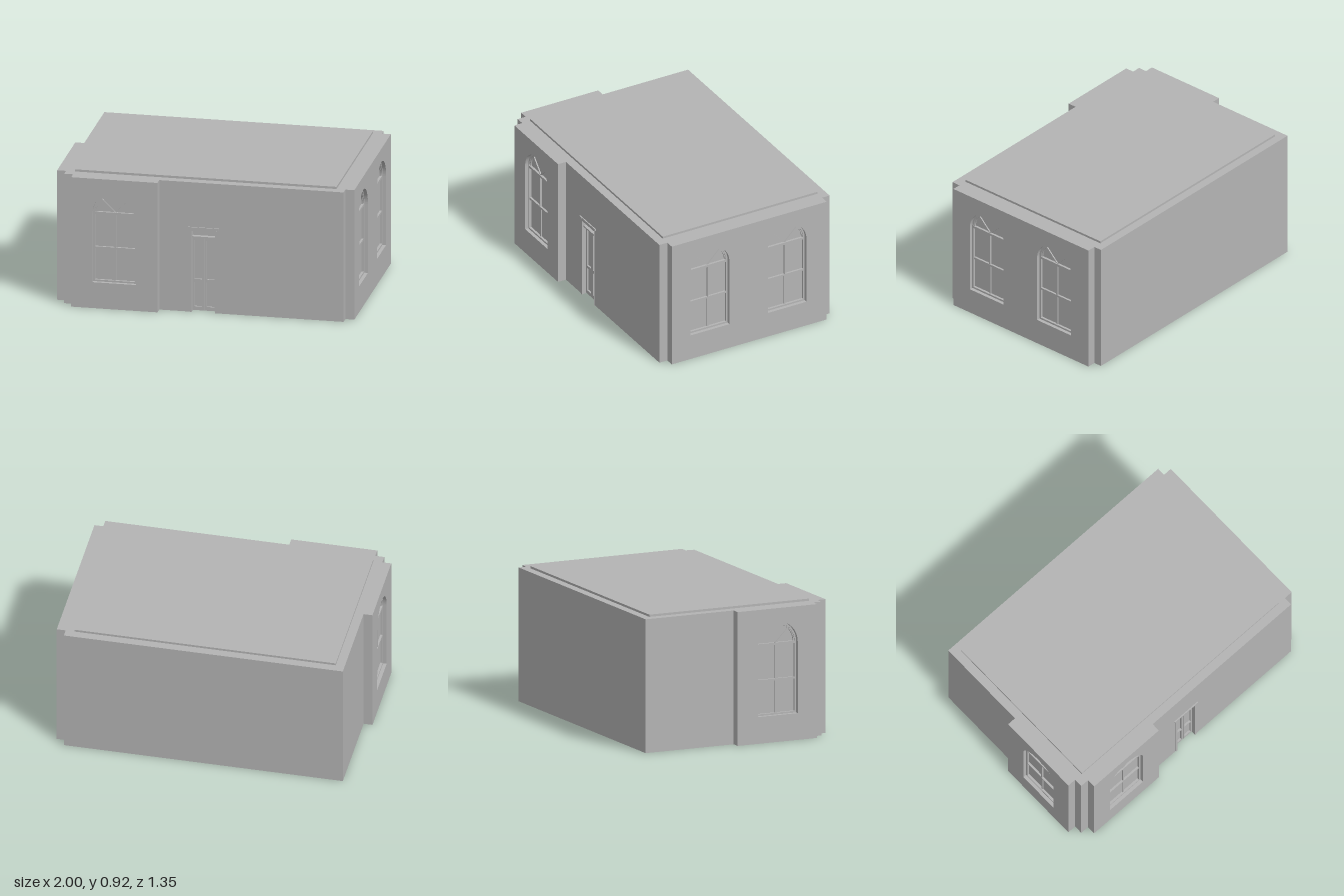
import * as THREE from 'three';

const H = 0.9, RECESS = 0.04;          // wall height, depth of window and door reveals
const HALF = 0.147, SILL = 0.18, SPRING = 0.66;   // arched window proportions

const plaster = new THREE.MeshStandardMaterial({ color: 0xb4b4b4 });
plaster.name = 'grey plaster';

function add(parent, name, geometry, x = 0, y = 0, z = 0) {
  const mesh = new THREE.Mesh(geometry, plaster);
  mesh.name = name;
  mesh.position.set(x, y, z);
  parent.add(mesh);
  return mesh;
}

// Box given by its x, y and z limits
function block(parent, name, x0, x1, y0, y1, z0, z1) {
  return add(parent, name, new THREE.BoxGeometry(x1 - x0, y1 - y0, z1 - z0),
    (x0 + x1) / 2, (y0 + y1) / 2, (z0 + z1) / 2);
}

const extrude = (shape, depth) =>
  new THREE.ExtrudeGeometry(shape, { depth, bevelEnabled: false, curveSegments: 20 });

const polygon = pts => new THREE.Shape(pts.map(p => new THREE.Vector2(p[0], p[1])));

// Round-headed outline, optionally inset from the opening
function arch(cx, bottom, inset = 0) {
  const r = HALF - inset, s = new THREE.Shape();
  s.moveTo(cx - r, bottom + inset);
  s.lineTo(cx + r, bottom + inset);
  s.lineTo(cx + r, SPRING);
  s.absarc(cx, SPRING, r, 0, Math.PI, false);
  s.closePath();
  return s;
}

// Sash window with a fanlight, standing on the back of the reveal
function makeWindow(cx) {
  const g = new THREE.Group();
  g.name = 'archedWindow';
  const frame = arch(cx, SILL);
  frame.holes.push(arch(cx, SILL, 0.012));
  add(g, 'windowFrame', extrude(frame, 0.016));
  const inner = HALF - 0.012;
  block(g, 'transom', cx - inner, cx + inner, 0.648, 0.664, 0, 0.016);
  block(g, 'meetingRail', cx - inner, cx + inner, 0.408, 0.422, 0, 0.014);
  block(g, 'upperMullion', cx - 0.005, cx + 0.005, 0.422, 0.648, 0, 0.012);
  block(g, 'lowerMullion', cx - 0.005, cx + 0.005, SILL + 0.012, 0.408, 0, 0.008);
  // Inner arch moulding
  const ring = new THREE.Shape();
  ring.absarc(cx, SPRING, 0.137, 0, Math.PI, false);
  ring.absarc(cx, SPRING, 0.128, Math.PI, 0, true);
  add(g, 'fanlightMoulding', extrude(ring, 0.01));
  // Radiating bars
  for (const a of [Math.PI / 4, Math.PI * 3 / 4]) {
    const bar = add(g, 'fanlightBar', new THREE.BoxGeometry(0.132, 0.007, 0.008),
      cx + Math.cos(a) * 0.066, SPRING + Math.sin(a) * 0.066, 0.004);
    bar.rotation.z = a;
  }
  return g;
}

// Facade skin with real openings; local z = 0 is the back of the reveals
function makeFacade(name, x0, x1, windows, door) {
  const g = new THREE.Group();
  g.name = name;
  const pts = [[x0, 0]];
  if (door) pts.push([door.x0, 0], [door.x0, door.h], [door.x1, door.h], [door.x1, 0]);
  pts.push([x1, 0], [x1, H], [x0, H]);
  const wall = polygon(pts);
  windows.forEach(cx => wall.holes.push(arch(cx, SILL)));
  add(g, 'wall', extrude(wall, RECESS));
  windows.forEach(cx => g.add(makeWindow(cx)));
  return g;
}

// Double door with a transom light, casing and cornice
function makeDoor({ x0, x1, h }) {
  const g = new THREE.Group();
  g.name = 'door';
  const c = (x0 + x1) / 2, out = RECESS;
  for (const [a, b] of [[x0 - 0.005, x0 + 0.007], [x1 - 0.007, x1 + 0.005]])
    block(g, 'doorJamb', a, b, 0, h, 0, out + 0.004);
  block(g, 'doorHead', x0, x1, h - 0.008, h + 0.008, 0, out + 0.004);
  block(g, 'doorCornice', x0 - 0.017, x1 + 0.017, h + 0.008, h + 0.018, out - 0.01, out + 0.008);
  block(g, 'doorTransom', x0, x1, 0.512, 0.522, 0, 0.03);
  for (const s of [-1, 1]) {
    const near = c + s * 0.002, far = c + s * 0.08;
    const l = Math.min(near, far), r = Math.max(near, far);
    const leaf = polygon([[l, 0.005], [r, 0.005], [r, 0.512], [l, 0.512]]);
    for (const [y0, y1] of [[0.03, 0.2], [0.22, 0.49]])
      leaf.holes.push(polygon([[l + 0.013, y0], [l + 0.013, y1], [r - 0.013, y1], [r - 0.013, y0]]));
    add(g, 'doorLeaf', extrude(leaf, 0.012));
  }
  return g;
}

export function createModel() {
  const model = new THREE.Group();
  model.name = 'building';

  // Stepped core, set back where the facades carry openings (x, -z)
  const footprint = [
    [-0.94, 0.677], [-0.94, 0.03], [-0.96, 0.03], [-0.96, -0.555], [-0.94, -0.555],
    [-0.94, -0.615], [-0.88, -0.615], [-0.88, -0.635], [-0.3, -0.635], [-0.3, -0.575],
    [0.94, -0.575], [0.94, -0.555], [0.96, -0.555], [0.96, 0.62], [0.94, 0.62], [0.94, 0.677],
  ];
  add(model, 'core', extrude(polygon(footprint), H)).rotation.x = -Math.PI / 2;

  // Raised roof deck
  block(model, 'roofDeck', -0.88, 0.88, H, 0.915, -0.62, 0.555);

  // Front wall with the entrance
  const opening = { x0: -0.089, x1: 0.084, h: 0.572 };
  const front = makeFacade('frontWall', -0.3, 0.94, [], opening);
  front.add(makeDoor(opening));
  front.position.z = 0.575;

  // Projecting front bay
  const bay = makeFacade('frontBay', -0.88, -0.3, [-0.59]);
  bay.position.z = 0.635;

  // Side walls: local x runs along -z on +x side, along +z on -x side
  const east = makeFacade('leftWall', -0.555, 0.62, [-0.265, 0.32]);
  east.rotation.y = Math.PI / 2;
  east.position.x = 0.96;

  const west = makeFacade('rightBay', -0.03, 0.555, [0.265]);
  west.rotation.y = -Math.PI / 2;
  west.position.x = -0.96;

  model.add(front, bay, east, west);
  return model;
}
